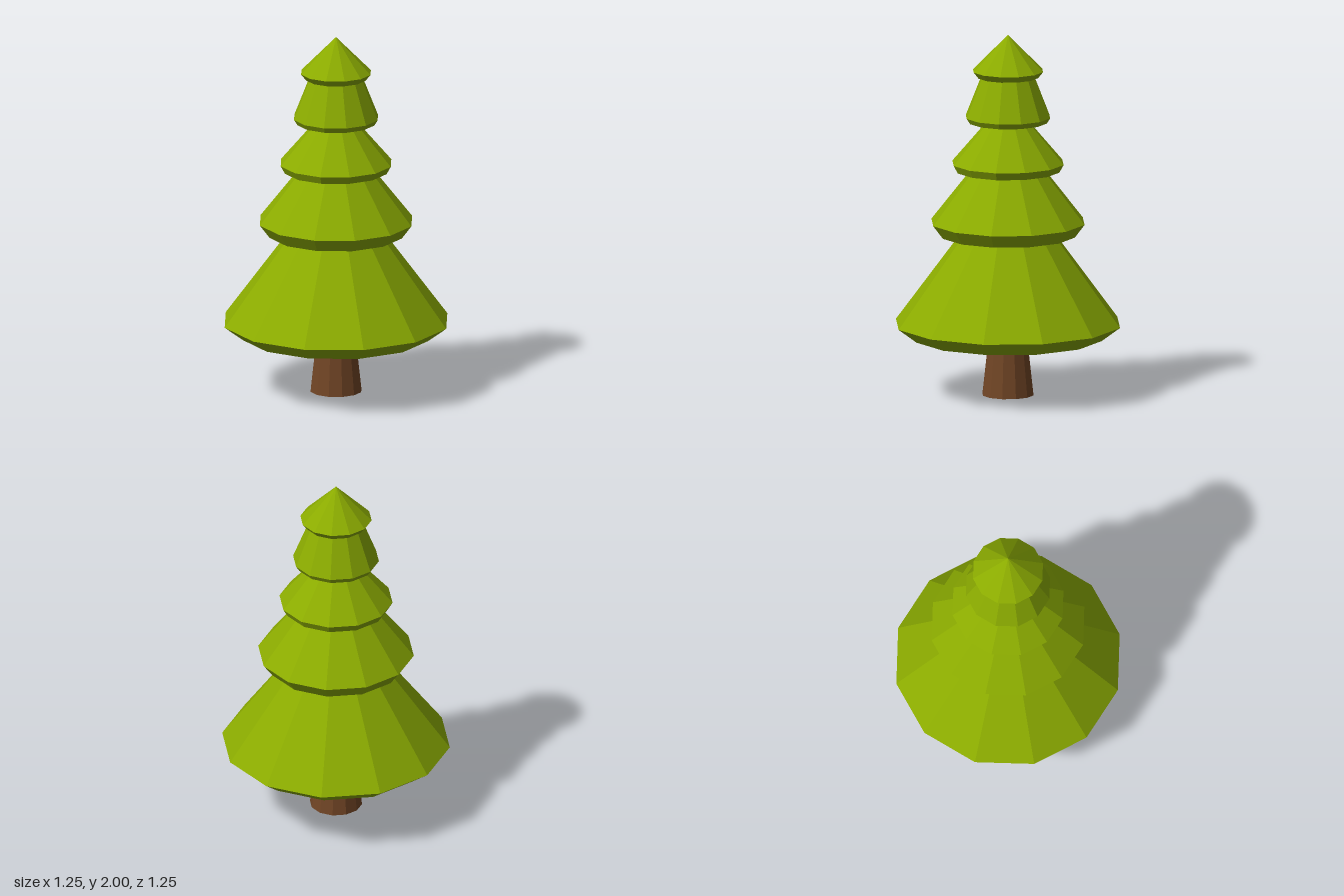
import * as THREE from 'three';

const SIDES = 12;

// Faceted surface of revolution; points running upward face outward, downward face inward
function faceted(points) {
  const profile = points.map(([r, y]) => new THREE.Vector2(r, y));
  const geometry = new THREE.LatheGeometry(profile, SIDES).toNonIndexed();
  geometry.computeVertexNormals();
  return geometry;
}

export function createModel() {
  const tree = new THREE.Group();
  tree.name = 'pineTree';

  const foliage = new THREE.MeshStandardMaterial({ color: 0x8bab00 });
  foliage.name = 'foliage green';
  const bark = new THREE.MeshStandardMaterial({ color: 0x714525 });
  bark.name = 'bark brown';
  const shade = new THREE.MeshStandardMaterial({ color: 0x000000 });
  shade.name = 'underside black';

  const add = (name, geometry, material) => {
    const mesh = new THREE.Mesh(geometry, material);
    mesh.name = name;
    tree.add(mesh);
    return mesh;
  };

  // Tapered trunk with a closed foot, reaching up inside the lowest tier
  add('trunk', faceted([[0, 0], [0.143, 0], [0.042, 0.9]]), bark);

  // Tier shells, [radius, height]: lower lip, widest rim, top edge tucked into the next tier
  const tiers = [
    [[0.523, 0.318], [0.626, 0.395], [0.235, 0.925]],
    [[0.373, 0.887], [0.428, 0.96], [0.185, 1.27]],
    [[0.287, 1.245], [0.311, 1.288], [0.1, 1.535]],
    [[0.217, 1.515], [0.236, 1.545], [0.141, 1.785]],
    [[0.168, 1.765], [0.196, 1.8], [0, 2]],
  ];

  tiers.forEach((points, i) => {
    add(`tier${i + 1}`, faceted(points), foliage);
    if (i === 0) return;
    // Dark underside, rising gently from the lip to the top edge of the tier below
    const [topRadius, topHeight] = tiers[i - 1][2];
    add(`underside${i + 1}`, faceted([points[0], [topRadius, topHeight], [0, topHeight]].reverse()), shade);
  });

  // Dark lining of the hollow lowest tier
  const lining = [[0, 0.92], [0.23, 0.92], [0.62, 0.392], tiers[0][0]];
  add('lowestLining', faceted(lining), shade);

  return tree;
}
